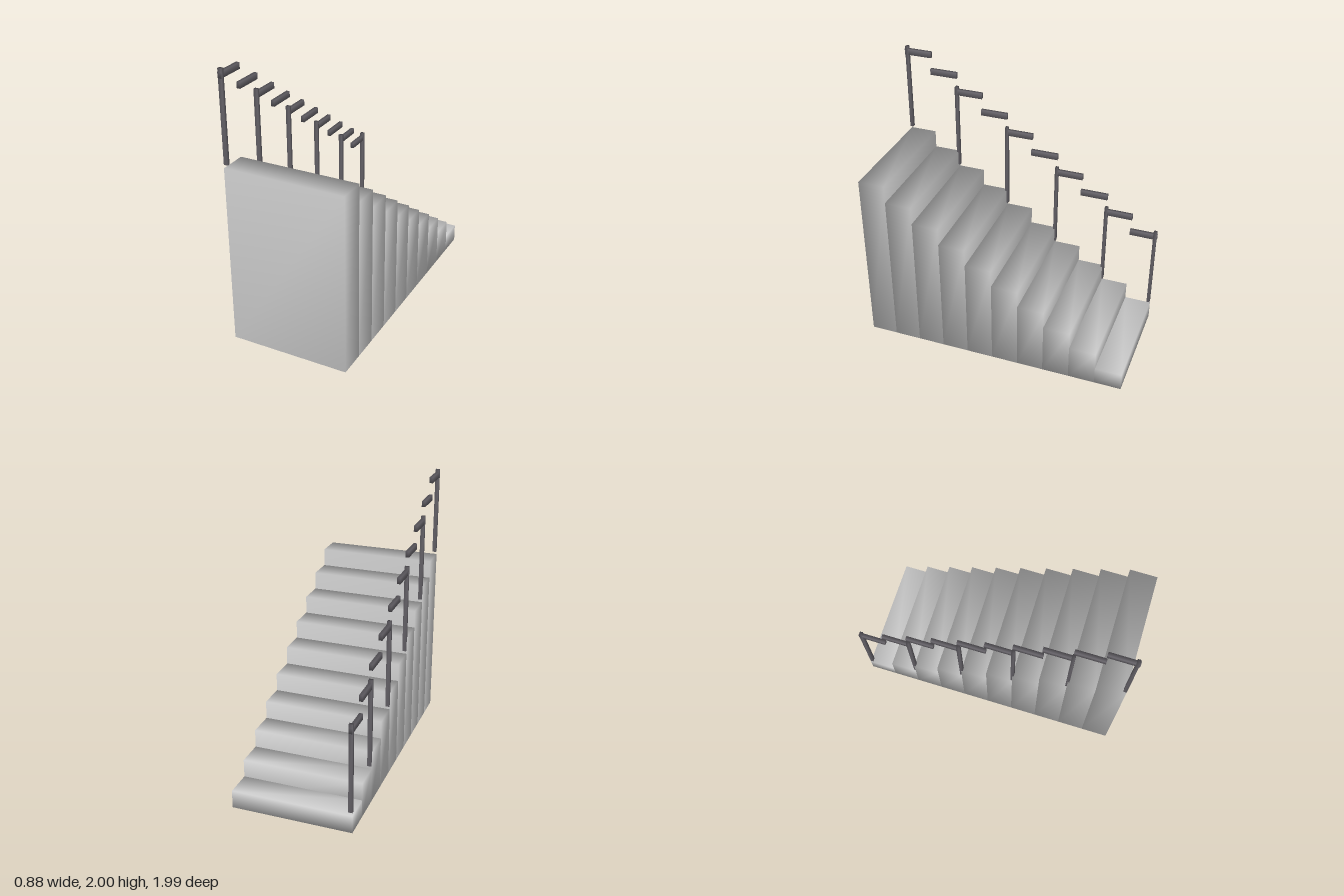
import * as THREE from 'three';
import { mergeVertices } from 'three/addons/utils/BufferGeometryUtils.js';

const STEPS = 10, DEPTH = 0.198, RISE = 0.132, WIDTH = 0.876;
const RAIL_X = -0.423;

// box with shared corners, so the shading runs softly round its edges
function softBox(w, h, d) {
  const box = new THREE.BoxGeometry(w, h, d);
  box.deleteAttribute('normal');
  box.deleteAttribute('uv');
  const geometry = mergeVertices(box);
  geometry.computeVertexNormals();
  return geometry;
}

export function createModel() {
  const model = new THREE.Group();
  model.name = 'staircase';
  const stone = new THREE.MeshStandardMaterial({ color: 0xcccccc });
  const metal = new THREE.MeshStandardMaterial({ color: 0x666369 });

  const add = (parent, name, geometry, material, x, y, z) => {
    const mesh = new THREE.Mesh(geometry, material);
    mesh.name = name;
    mesh.position.set(x, y, z);
    parent.add(mesh);
  };

  const steps = new THREE.Group();
  steps.name = 'steps';
  const handrail = new THREE.Group();
  handrail.name = 'handrail';
  model.add(steps, handrail);

  const postHeight = 0.656;
  const postGeometry = softBox(0.029, postHeight, 0.023);
  const railGeometry = softBox(0.026, 0.044, 0.207);

  // steps climb from the back to the front, each a solid block down to the floor
  for (let i = 0; i < STEPS; i++) {
    const top = RISE * (i + 1);
    const z = (i - (STEPS - 1) / 2) * DEPTH;
    add(steps, `step${i + 1}`, softBox(WIDTH, top, DEPTH), stone, 0, top / 2, z);

    // one level rail segment above every step
    add(handrail, `railSegment${i + 1}`, railGeometry, metal, RAIL_X, top + 0.638, z);

    // posts at the front edge of every second step, and at the back of the lowest
    if (i % 2 === 1 || i === 0) {
      let postZ = z + DEPTH / 2;
      if (i === 0) postZ = z - DEPTH / 2 + 0.012;
      if (i === STEPS - 1) postZ -= 0.012;
      add(handrail, `post${i + 1}`, postGeometry, metal, RAIL_X, top + 0.024 + postHeight / 2, postZ);
    }
  }
  return model;
}
